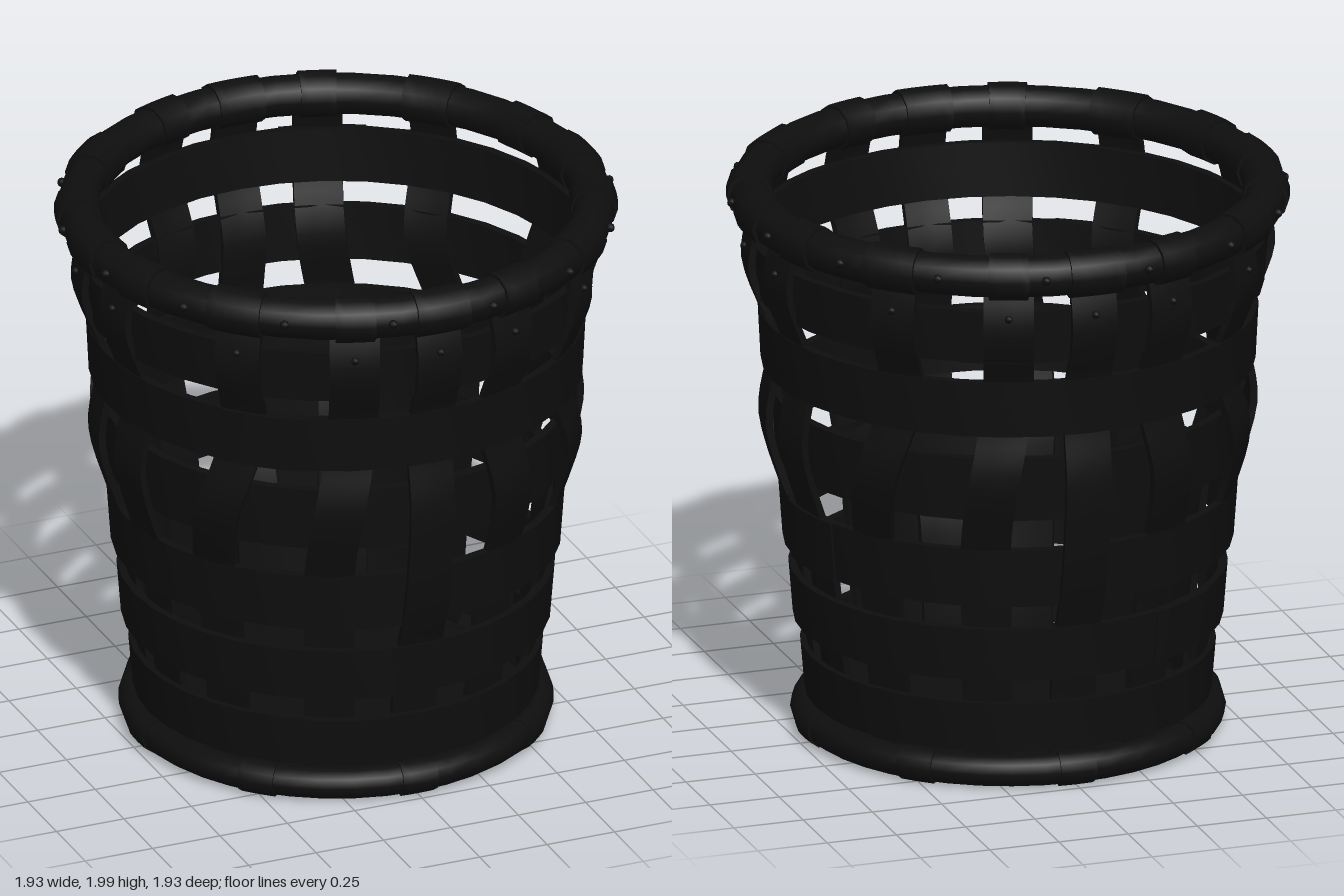
import * as THREE from 'three';
import { toCreasedNormals } from 'three/addons/utils/BufferGeometryUtils.js';

const deg = Math.PI / 180;

// Wraps a shape built around the origin onto the basket: x runs round it, z runs outward
function bend(geo, place) {
  const p = geo.attributes.position;
  for (let i = 0; i < p.count; i++) {
    const { y, r, a } = place(p.getY(i));
    const angle = a + p.getX(i) / r;
    const rad = r + p.getZ(i);
    p.setXYZ(i, rad * Math.sin(angle), y, rad * Math.cos(angle));
  }
  return toCreasedNormals(geo, 0.6);
}

// Closed ring with a slanted rectangular section
function ring(y0, y1, r0, r1, t) {
  const pts = [[r0, y0], [r1, y1], [r1 - t, y1], [r0 - t, y0], [r0, y0]];
  return toCreasedNormals(new THREE.LatheGeometry(pts.map(([x, y]) => new THREE.Vector2(x, y)), 36), 0.6);
}

export function createModel() {
  const basket = new THREE.Group();
  basket.name = 'basket';
  const darkWood = new THREE.MeshStandardMaterial({ color: 0x0e0e0e });
  darkWood.name = 'darkWood';
  const add = (name, geo) => {
    const mesh = new THREE.Mesh(geo, darkWood);
    mesh.name = name;
    basket.add(mesh);
    return mesh;
  };

  // Horizontal bands: bottom, top, outer radius at each, angle of the overlapping joint
  const bands = [
    [0.13, 0.31, 0.695, 0.71, -20], [0.40, 0.59, 0.735, 0.75, 215],
    [0.68, 0.89, 0.77, 0.785, 100], [1.00, 1.23, 0.795, 0.81, 15],
    [1.32, 1.52, 0.845, 0.855, -40], [1.60, 1.79, 0.875, 0.89, 160],
  ];
  bands.forEach(([y0, y1, r0, r1, joint]) => {
    add('band', ring(y0, y1, r0, r1, 0.03));
    const plate = new THREE.BoxGeometry(0.3, y1 - y0, 0.016, 6, 1, 1);
    add('bandJoint', bend(plate, (y) => ({
      y: (y0 + y1) / 2 + y, r: (r0 + r1) / 2 + y * (r1 - r0) / (y1 - y0), a: joint * deg,
    })));
  });

  // Upright staves, woven outside the fourth and sixth bands: [top angle, bottom angle, width]
  const quarter = [[0, 0, 0.16], [19, 25, 0.17], [45, 56, 0.16], [80, 80, 0.16]];
  const staves = [];
  quarter.forEach(([top, low, w], i) => {
    for (const back of [false, true]) {
      for (const side of i ? [1, -1] : [1]) {
        const turn = (a) => side * (back ? 180 - a : a);
        staves.push({ top: turn(top), low: turn(low), w, outer: i === 0 });
      }
    }
  });
  staves.forEach(({ top, low, w, outer }) => {
    const path = new THREE.SplineCurve([
      [0.06, 0.655], [0.22, 0.665], [0.5, 0.7], [0.78, outer ? 0.795 : 0.738],
      [1.13, 0.84], [1.42, 0.81], [1.7, 0.9], [1.9, 0.865],
    ].map(([y, r]) => new THREE.Vector2(y, r)));
    const strip = new THREE.BoxGeometry(w, 1, 0.025, 3, 42, 1);
    add('stave', bend(strip, (v) => {
      const p = path.getPoint(Math.min(1, Math.max(0, v + 0.5)));
      const lean = THREE.MathUtils.smoothstep(p.x, 0.8, 1.55);
      return { y: p.x, r: p.y, a: (low + (top - low) * lean) * deg };
    }));
    // Nail holding the stave to the top band
    const nail = add('nail', new THREE.SphereGeometry(0.014, 8, 6));
    nail.position.set(0.912 * Math.sin(top * deg), 1.77, 0.912 * Math.cos(top * deg));
  });

  // Rolled rims at the top and bottom
  function rim(name, y, r, tube) {
    const geo = new THREE.TorusGeometry(r, tube, 10, 40);
    geo.rotateX(Math.PI / 2);
    add(name, geo).position.y = y;
  }
  rim('topRim', 1.915, 0.882, 0.071);
  rim('bottomRim', 0.062, 0.69, 0.054);

  // Bindings wrapped round the rims
  function binding(name, angle, y, r, tube, length) {
    const geo = new THREE.CylinderGeometry(tube, tube, length, 10, 5);
    geo.rotateZ(Math.PI / 2);
    const p = geo.attributes.position;
    for (let i = 0; i < p.count; i++) {
      const a = angle * deg + p.getX(i) / r;
      const rad = r + p.getZ(i);
      p.setXYZ(i, rad * Math.sin(a), y + p.getY(i), rad * Math.cos(a));
    }
    add(name, toCreasedNormals(geo, 0.7));
  }
  [0, 19, 45, 70, 90].forEach((a, i) => {
    for (const s of a === 0 ? [1] : [1, -1]) {
      binding('topBinding', s * a, 1.915, 0.882, 0.081, i % 2 ? 0.13 : 0.18);
      if (a < 90) binding('topBinding', 180 - s * a, 1.915, 0.882, 0.081, i % 2 ? 0.13 : 0.18);
    }
  });
  for (let i = 0; i < 8; i++) binding('bottomBinding', i * 45, 0.062, 0.69, 0.06, 0.12);

  // Small pegs on the rims
  for (let i = 0; i < 16; i++) {
    const a = (i + 0.5) * 22.5 * deg;
    const peg = add('rimPeg', new THREE.SphereGeometry(0.016, 8, 6));
    peg.position.set(0.952 * Math.sin(a), 1.92, 0.952 * Math.cos(a));
  }

  // Solid floor
  const floor = add('floor', new THREE.CylinderGeometry(0.69, 0.69, 0.07, 40));
  floor.position.y = 0.04;

  return basket;
}
